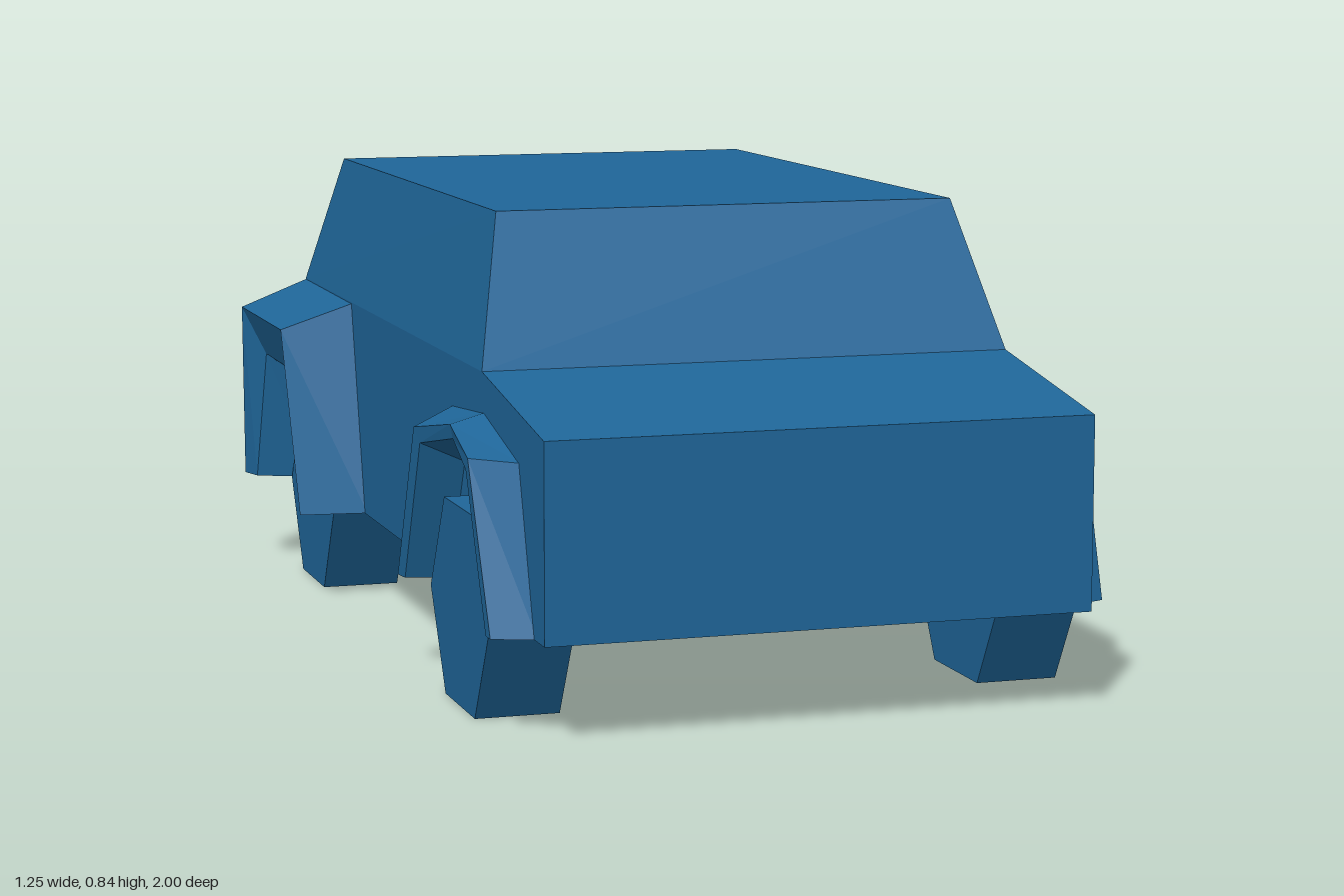
import * as THREE from 'three';

const paint = new THREE.MeshStandardMaterial({ color: 0x1f6699, flatShading: true });

function part(name, geometry, parent) {
  const mesh = new THREE.Mesh(geometry, paint);
  mesh.name = name;
  parent.add(mesh);
  return mesh;
}

// Wheel arch: four [z, y] rails with their x, swept as a closed four-sided section
function archGeometry(rails, side) {
  const pos = [];
  const at = (r, i) => [side * rails[r].x[i % rails[r].x.length], rails[r].pts[i][1], rails[r].pts[i][0]];
  const quad = (a, b, c, d) => {
    const tris = side > 0 ? [a, b, c, a, c, d] : [a, c, b, a, d, c];
    tris.forEach((p) => pos.push(...p));
  };
  const last = rails[0].pts.length - 1;
  for (let i = 0; i < last; i++) {
    for (let r = 0; r < 4; r++) {
      const n = (r + 1) % 4;
      quad(at(r, i), at(n, i), at(n, i + 1), at(r, i + 1));
    }
  }
  quad(at(3, 0), at(2, 0), at(1, 0), at(0, 0));
  quad(at(0, last), at(1, last), at(2, last), at(3, last));
  const g = new THREE.BufferGeometry();
  g.setAttribute('position', new THREE.Float32BufferAttribute(pos, 3));
  g.computeVertexNormals();
  return g;
}

// Rails run from the front foot over the wheel to the rear foot
const frontArch = [
  { x: [0.48], pts: [[0.94, 0.175], [0.85, 0.455], [0.62, 0.508], [0.4, 0.49], [0.262, 0.175]] },
  { x: [0.55, 0.558, 0.545, 0.565, 0.565], pts: [[0.9, 0.172], [0.79, 0.458], [0.62, 0.49], [0.44, 0.46], [0.31, 0.172]] },
  { x: [0.55, 0.555, 0.54, 0.56, 0.56], pts: [[0.87, 0.172], [0.765, 0.435], [0.62, 0.465], [0.465, 0.435], [0.345, 0.172]] },
  { x: [0.48], pts: [[0.84, 0.175], [0.735, 0.4], [0.62, 0.425], [0.49, 0.4], [0.38, 0.175]] },
];
const rearArch = [
  { x: [0.48], pts: [[-0.3, 0.175], [-0.4, 0.58], [-0.83, 0.583], [-0.835, 0.175]] },
  { x: [0.615, 0.625, 0.625, 0.62], pts: [[-0.3, 0.178], [-0.415, 0.53], [-0.81, 0.53], [-0.825, 0.18]] },
  { x: [0.6, 0.59, 0.59, 0.605], pts: [[-0.36, 0.178], [-0.455, 0.44], [-0.735, 0.44], [-0.775, 0.18]] },
  { x: [0.48], pts: [[-0.4, 0.175], [-0.475, 0.36], [-0.72, 0.36], [-0.75, 0.175]] },
];

export function createModel() {
  const model = new THREE.Group();
  model.name = 'offRoadCar';

  // Lower body with sloping bonnet, extruded across the width
  const profile = new THREE.Shape(
    [[1, 0.175], [1, 0.515], [0.61, 0.577], [-0.83, 0.583], [-0.835, 0.175]]
      .map(([z, y]) => new THREE.Vector2(z, y)));
  const lower = new THREE.ExtrudeGeometry(profile, { depth: 0.97, bevelEnabled: false });
  lower.translate(0, 0, -0.485).rotateY(-Math.PI / 2);
  part('lowerBody', lower, model);

  // Cabin: box narrowed towards the roof
  const cabin = new THREE.BoxGeometry(1, 1, 1);
  const p = cabin.attributes.position;
  for (let i = 0; i < p.count; i++) {
    const top = p.getY(i) > 0;
    const front = p.getZ(i) > 0;
    p.setXYZ(i,
      Math.sign(p.getX(i)) * (top ? 0.425 : 0.485),
      top ? 0.84 : front ? 0.577 : 0.583,
      front ? (top ? 0.485 : 0.61) : (top ? -0.72 : -0.83));
  }
  cabin.computeVertexNormals();
  part('cabin', cabin, model);

  // Hexagonal wheels and flared arches on both sides
  const wheel = new THREE.CylinderGeometry(0.202, 0.202, 0.15, 6).rotateZ(Math.PI / 2);
  for (const [side, label] of [[1, 'left'], [-1, 'right']]) {
    part(label + 'FrontArch', archGeometry(frontArch, side), model);
    part(label + 'RearArch', archGeometry(rearArch, side), model);
    part(label + 'FrontWheel', wheel, model).position.set(side * 0.46, 0.175, 0.637);
    part(label + 'RearWheel', wheel, model).position.set(side * 0.46, 0.175, -0.557);
  }

  // Spare wheel on the tail, standing on a corner
  const spare = new THREE.CylinderGeometry(0.198, 0.198, 0.19, 6).rotateX(Math.PI / 2);
  part('spareWheel', spare, model).position.set(0, 0.378, -0.905);

  return model;
}
